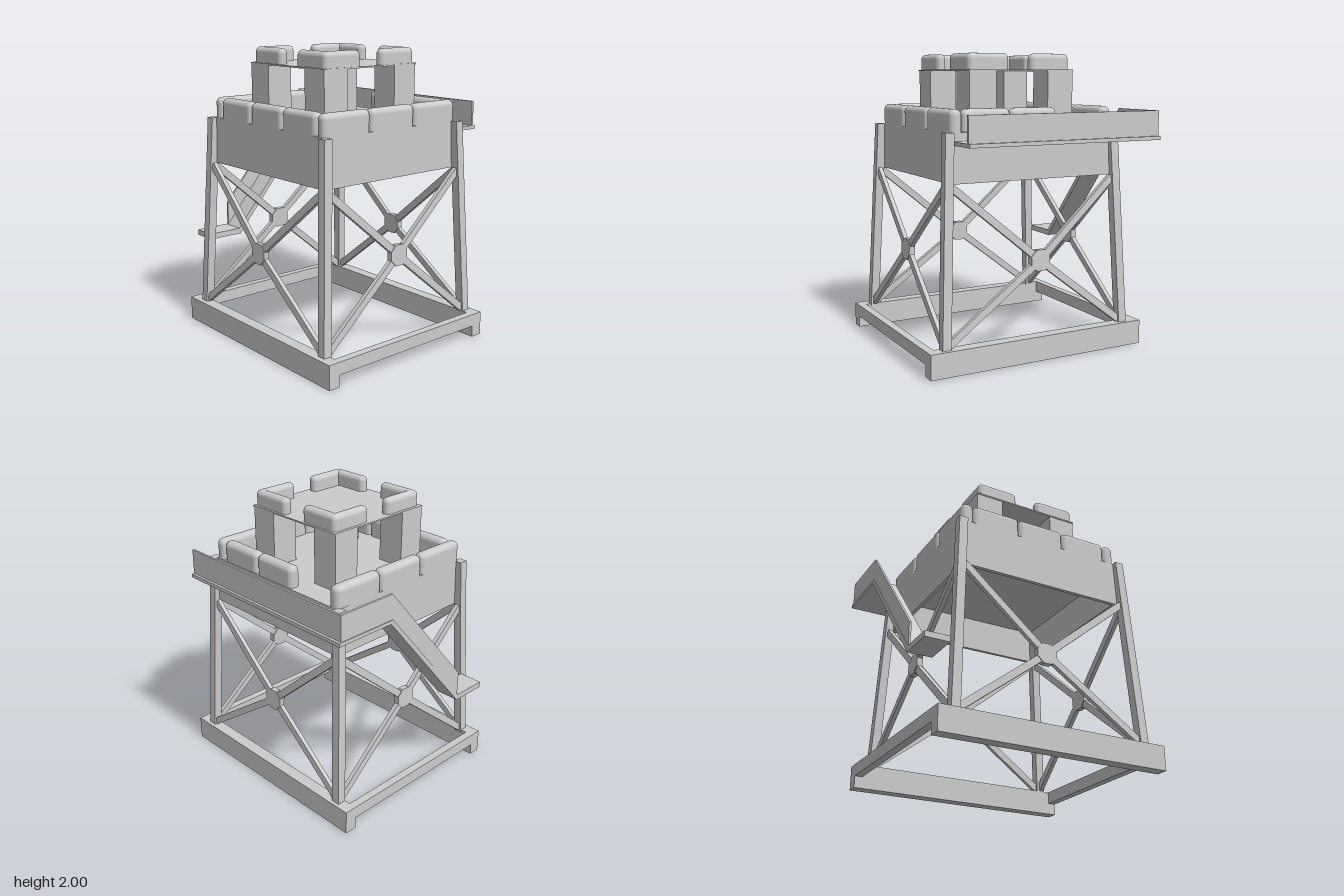
import * as THREE from 'three';
import { RoundedBoxGeometry } from 'three/addons/geometries/RoundedBoxGeometry.js';

const grey = new THREE.MeshStandardMaterial({ color: 0xcccccc });
const CX = 0.028, CZ = 0.05; // centre of the tower frame

function add(parent, name, geometry) {
  const mesh = new THREE.Mesh(geometry, grey);
  mesh.name = name;
  parent.add(mesh);
  return mesh;
}

// Box given by its limits on each axis
function block(parent, name, x0, x1, y0, y1, z0, z1) {
  const mesh = add(parent, name, new THREE.BoxGeometry(x1 - x0, y1 - y0, z1 - z0));
  mesh.position.set((x0 + x1) / 2, (y0 + y1) / 2, (z0 + z1) / 2);
  return mesh;
}

// Sandbag: rounded on top, flat underneath
function sandbag(parent, x0, x1, y0, h, z0, z1, r) {
  const g = new RoundedBoxGeometry(x1 - x0, 2 * h, z1 - z0, 4, r);
  const p = g.attributes.position;
  for (let i = 0; i < p.count; i++) p.setY(i, Math.max(0, p.getY(i)));
  add(parent, 'sandbag', g).position.set((x0 + x1) / 2, y0, (z0 + z1) / 2);
}

// Side profile of [z, y] points, extruded from x0 to x1
function sideProfile(parent, name, points, x0, x1) {
  const shape = new THREE.Shape(points.map(([z, y]) => new THREE.Vector2(z, y)));
  const g = new THREE.ExtrudeGeometry(shape, { depth: x1 - x0, bevelEnabled: false });
  g.rotateY(-Math.PI / 2);
  add(parent, name, g).position.x = x1;
}

// Cross bracing of one side, leaning inwards with the legs
function bracePanel(parent, angle, distance, bottom, top, hubX, hubY) {
  const panel = new THREE.Group();
  panel.name = 'crossBrace';
  for (const s of [-1, 1]) {
    for (const [x, y] of [[s * bottom, 0.185], [s * top, 1.175]]) {
      const dx = x - hubX, dy = y - hubY;
      const bar = add(panel, 'braceBar', new THREE.BoxGeometry(Math.hypot(dx, dy), 0.048, 0.03));
      bar.position.set((x + hubX) / 2, (y + hubY) / 2, 0);
      bar.rotation.z = Math.atan2(dy, dx);
    }
  }
  const plate = new THREE.CylinderGeometry(0.076, 0.076, 0.04, 8).toNonIndexed();
  plate.rotateY(Math.PI / 8).rotateX(Math.PI / 2);
  plate.computeVertexNormals();
  add(panel, 'bracePlate', plate).position.set(hubX, hubY, 0);
  panel.position.set(CX + Math.sin(angle) * distance, 0, CZ + Math.cos(angle) * distance);
  panel.rotation.set(-Math.atan(0.0446), angle, 0, 'YXZ');
  parent.add(panel);
}

export function createModel() {
  const model = new THREE.Group();
  model.name = 'watchtower';

  // Base frame
  block(model, 'frontSkid', -0.77, 0.82, 0, 0.165, 0.665, 0.75);
  block(model, 'backSkid', -0.77, 0.82, 0, 0.165, -0.64, -0.555);
  block(model, 'rightBaseBeam', -0.77, -0.715, 0.08, 0.165, -0.56, 0.67);
  block(model, 'leftBaseBeam', 0.765, 0.82, 0.08, 0.165, -0.56, 0.67);

  // Leaning legs, cut level at both ends
  for (const sx of [-1, 1]) for (const sz of [-1, 1]) {
    const g = new THREE.BoxGeometry(0.06, 1.36, 0.06);
    const p = g.attributes.position;
    for (let i = 0; i < p.count; i++) {
      const lean = p.getY(i) > 0 ? -0.06 : 0;
      p.setX(i, p.getX(i) + sx * (0.67 + lean));
      p.setZ(i, p.getZ(i) + sz * (0.635 + lean));
    }
    g.computeVertexNormals();
    add(model, 'leg', g).position.set(CX, 0.83, CZ);
  }

  // Bracing on all four sides
  bracePanel(model, 0, 0.643, 0.645, 0.6, -0.025, 0.66);
  bracePanel(model, Math.PI, 0.643, 0.645, 0.6, 0.025, 0.66);
  bracePanel(model, Math.PI / 2, 0.678, 0.61, 0.57, 0, 0.69);
  bracePanel(model, -Math.PI / 2, 0.678, 0.61, 0.57, 0, 0.69);

  // Platform: deck with a skirt, open below
  block(model, 'deck', -0.56, 0.61, 1.44, 1.51, -0.52, 0.61);
  block(model, 'frontSkirt', -0.57, 0.62, 1.19, 1.51, 0.595, 0.62);
  block(model, 'backSkirt', -0.57, 0.62, 1.19, 1.51, -0.53, -0.505);
  block(model, 'rightSkirt', -0.57, -0.545, 1.19, 1.51, -0.505, 0.595);
  block(model, 'leftSkirt', 0.595, 0.62, 1.19, 1.51, -0.505, 0.595);

  // Sandbag wall, with a gap at the back for the walkway
  const wall = new THREE.Group();
  wall.name = 'sandbagWall';
  model.add(wall);
  for (let i = 0; i < 3; i++) {
    const z = -0.53 + i * 0.383, x = -0.49 + i * 0.342;
    sandbag(wall, -0.575, -0.49, 1.51, 0.142, z, z + 0.383, 0.038);
    sandbag(wall, 0.537, 0.62, 1.51, 0.142, z, z + 0.383, 0.038);
    sandbag(wall, x, x + 0.342, 1.51, 0.142, 0.538, 0.62, 0.038);
    if (i > 0) sandbag(wall, x, x + 0.342, 1.51, 0.142, -0.527, -0.443, 0.038);
  }

  // Upper post: four pillars, a thin roof and corner sandbags
  for (const [x0, bx] of [[-0.375, -0.355], [0.21, 0.105]]) {
    for (const [z0, bz] of [[-0.355, -0.345], [0.25, 0.13]]) {
      block(model, 'pillar', x0, x0 + 0.195, 1.5, 1.888, z0, z0 + 0.19);
      const ox = x0 < 0 ? bx : bx + 0.23;
      const oz = z0 < 0 ? bz : bz + 0.23;
      sandbag(model, bx, bx + 0.3, 1.895, 0.105, oz, oz + 0.07, 0.034);
      sandbag(model, ox, ox + 0.07, 1.895, 0.105, bz, bz + 0.3, 0.034);
    }
  }
  block(model, 'roof', -0.375, 0.41, 1.885, 1.895, -0.36, 0.445);

  // Rear walkway with its parapet
  block(model, 'walkwayFloor', -0.65, 0.605, 1.43, 1.455, -0.755, -0.53);
  block(model, 'walkwayParapet', -0.8, 0.605, 1.45, 1.625, -0.737, -0.722);

  // Ramp down the right side with a landing and outer parapet
  sideProfile(model, 'ramp', [[-0.755, 1.43], [-0.32, 1.43], [0.38, 0.61], [0.64, 0.61],
    [0.64, 0.65], [0.39, 0.65], [-0.305, 1.455], [-0.755, 1.455]], -0.82, -0.65);
  sideProfile(model, 'rampParapet', [[-0.737, 1.45], [-0.31, 1.45], [0.387, 0.64],
    [0.387, 0.82], [-0.31, 1.625], [-0.737, 1.625]], -0.815, -0.8);

  return model;
}
